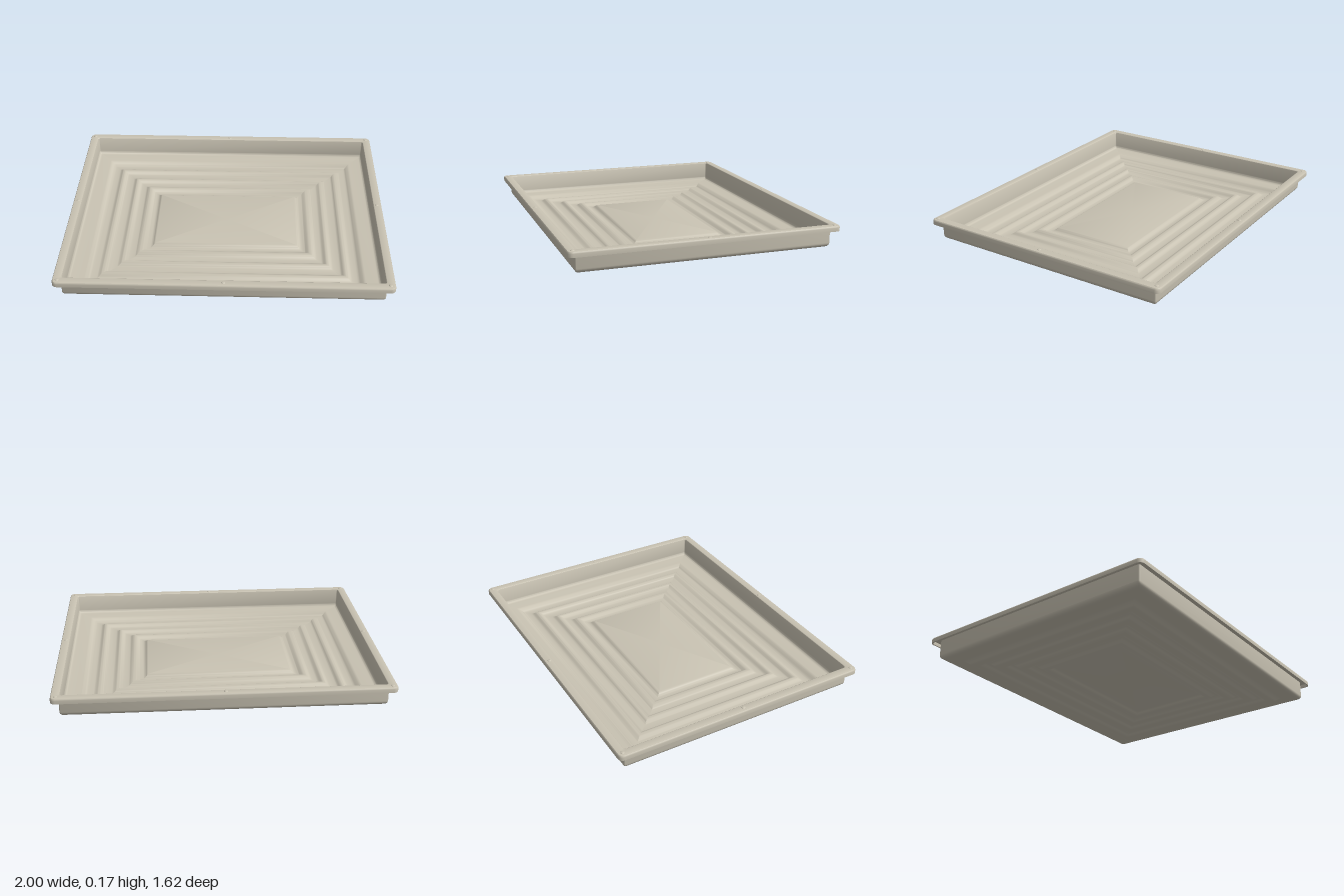
import * as THREE from 'three';
import { toCreasedNormals } from 'three/addons/utils/BufferGeometryUtils.js';

const HX = 1, HZ = 0.81, T = 0.008;

// Rounded rectangle loop, inset by d from the rim, at height y
function ring([d, y, r], seg = 4) {
  const pts = [];
  const hx = HX - d - r, hz = HZ - d - r;
  [[1, 1], [-1, 1], [-1, -1], [1, -1]].forEach(([sx, sz], q) => {
    for (let k = 0; k <= seg; k++) {
      const a = (q + k / seg) * Math.PI / 2;
      pts.push([sx * hx + r * Math.cos(a), y, sz * hz + r * Math.sin(a)]);
    }
  });
  return pts;
}

// Skin a series of loops and close both ends
function loft(sections) {
  const rings = sections.map((s) => ring(s));
  const n = rings[0].length, pos = [], idx = [];
  rings.forEach((r) => r.forEach((p) => pos.push(...p)));
  for (let i = 0; i < rings.length - 1; i++) {
    for (let j = 0; j < n; j++) {
      const a = i * n + j, b = i * n + (j + 1) % n;
      idx.push(a, a + n, b, b, a + n, b + n);
    }
  }
  const first = pos.length / 3, last = (rings.length - 1) * n;
  pos.push(0, sections[0][1], 0, 0, sections.at(-1)[1], 0);
  for (let j = 0; j < n; j++) {
    const k = (j + 1) % n;
    idx.push(first, j, k, first + 1, last + k, last + j);
  }
  const g = new THREE.BufferGeometry();
  g.setAttribute('position', new THREE.Float32BufferAttribute(pos, 3));
  g.setIndex(idx);
  return toCreasedNormals(g, 0.6);
}

// Stepped floor: [inset of the step's middle, height after it], eased between
function floorProfile() {
  const steps = [[0.17, 0], [0.24, 0.018], [0.28, 0], [0.35, 0.018],
    [0.385, 0], [0.445, 0.018], [0.49, 0], [0.54, 0.02]];
  const out = [];
  let h = 0.025;
  for (const [d, next] of steps) {
    const w = d === 0.17 ? 0.024 : 0.017;
    for (let k = 0; k <= 6; k++) {
      const e = (1 - Math.cos(Math.PI * k / 6)) / 2;
      out.push([d + w * (2 * k / 6 - 1), h + (next - h) * e, 0.003]);
    }
    h = next;
  }
  return out;
}

// Rounded transition between the wall and the floor
function fillet(d, y, rad) {
  const out = [];
  for (let k = 0; k <= 6; k++) {
    const a = k / 6 * Math.PI / 2;
    out.push([d + rad * (1 - Math.cos(a)), y + rad * (1 - Math.sin(a)), 0.012 - 0.008 * k / 6]);
  }
  return out;
}

export function createModel() {
  const group = new THREE.Group();
  const beige = new THREE.MeshStandardMaterial({ color: 0xc8c2b2 });
  beige.name = 'beige plastic';

  // Tray shell: underside, outer wall, hollow lip, inner wall, upper floor
  const floor = floorProfile();
  const sections = [
    ...floor.slice().reverse(),
    ...fillet(0.045, 0.025, 0.028).reverse(),
    [0.045, 0.152, 0.012],
    [0.008, 0.152, 0.024],
    [0.008, 0.13, 0.024],
    [0, 0.13, 0.03],
    [0, 0.152, 0.03],
    [0.0015, 0.157, 0.029],
    [0.005, 0.161, 0.027],
    [0.01, 0.162, 0.024],
    [0.048, 0.162, 0.014],
    [0.052, 0.16, 0.012],
    [0.054, 0.156, 0.012],
    ...fillet(0.055, 0.025 + T, 0.022),
    ...floor.map(([d, y, r]) => [d, y + T, r]),
  ];
  const tray = new THREE.Mesh(loft(sections), beige);
  tray.name = 'tray';
  group.add(tray);

  // Small stacking bumps at the corners and the middle of each side of the rim
  const bump = new THREE.SphereGeometry(0.012, 16, 6, 0, Math.PI * 2, 0, Math.PI / 2);
  bump.scale(1, 0.4, 1);
  for (const x of [-1, 0, 1]) {
    for (const z of [-1, 0, 1]) {
      if (!x && !z) continue;
      const m = new THREE.Mesh(bump, beige);
      m.name = 'rimBump';
      m.position.set(x * 0.969, 0.1615, z * 0.779);
      group.add(m);
    }
  }
  return group;
}
